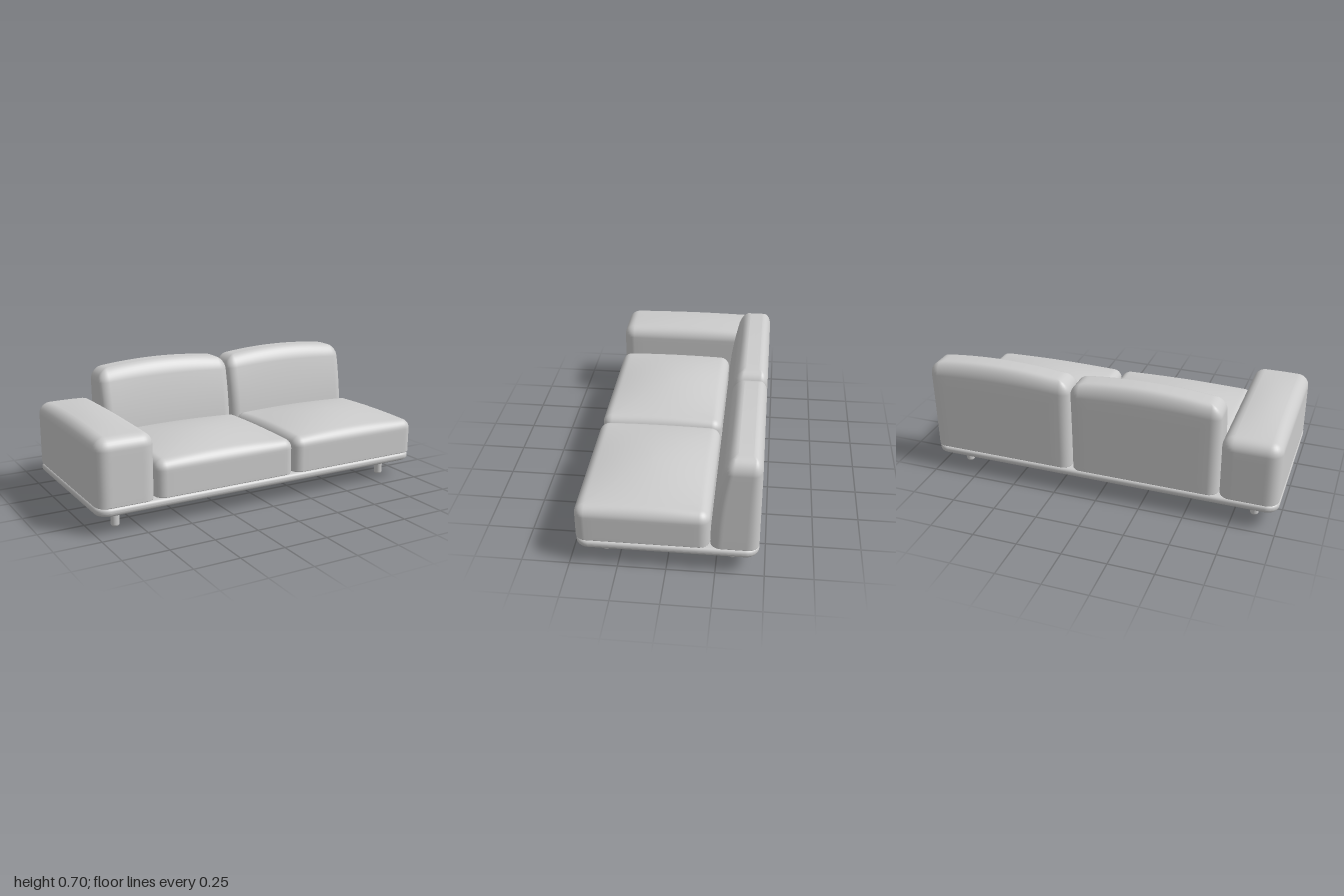
import * as THREE from 'three';

const material = new THREE.MeshStandardMaterial({ color: 0xcccccc });

// Rounded-rectangle outline, counter-clockwise seen from above
function outline(hx, hz, r, edgeSteps = 14, cornerSteps = 6) {
  const pts = [];
  const cx = hx - r, cz = hz - r;
  const corners = [[cx, -cz], [-cx, -cz], [-cx, cz], [cx, cz]];
  corners.forEach(([x, z], q) => {
    for (let i = 0; i <= cornerSteps; i++) {
      const a = (q + i / cornerSteps) * Math.PI / 2;
      pts.push([x + r * Math.cos(a), z - r * Math.sin(a)]);
    }
    // subdivide the straight run to the next corner
    const [x0, z0] = pts[pts.length - 1];
    const [nx, nz] = corners[(q + 1) % 4];
    const a = (q + 1) * Math.PI / 2;
    const x1 = nx + r * Math.cos(a), z1 = nz - r * Math.sin(a);
    for (let i = 1; i < edgeSteps; i++) {
      const t = i / edgeSteps;
      pts.push([x0 + (x1 - x0) * t, z0 + (z1 - z0) * t]);
    }
  });
  return pts;
}

// Soft block: stacked outlines with rounded bottom and top edges.
// shape(x, y, z, u, v, t) may bend each point; u, v run -1..1 and t 0..1 upward.
function softBlock(name, { x, y, z, r, top, bottom, shape }) {
  const hx = (x[1] - x[0]) / 2, hz = (z[1] - z[0]) / 2;
  const mx = (x[0] + x[1]) / 2, mz = (z[0] + z[1]) / 2;
  const levels = []; // inset, height, scale
  for (const s of [0.001, 0.5, 0.97]) levels.push([bottom, y[0], s]);
  for (let i = 0; i <= 4; i++) {
    const a = i / 4 * Math.PI / 2;
    levels.push([bottom * (1 - Math.sin(a)), y[0] + bottom * (1 - Math.cos(a)), 1]);
  }
  const wall0 = y[0] + bottom, wall1 = y[1] - top;
  for (let i = 1; i < 8; i++) levels.push([0, wall0 + (wall1 - wall0) * i / 8, 1]);
  for (let i = 0; i <= 8; i++) {
    const a = i / 8 * Math.PI / 2;
    levels.push([top * (1 - Math.cos(a)), wall1 + top * Math.sin(a), 1]);
  }
  for (const s of [0.96, 0.88, 0.76, 0.62, 0.48, 0.34, 0.2, 0.08, 0.001]) levels.push([top, y[1], s]);

  const pos = [], index = [];
  let n = 0;
  levels.forEach(([inset, py, s]) => {
    const ring = outline(hx - inset, hz - inset, Math.max(r - inset, 0.012));
    n = ring.length;
    for (const [px, pz] of ring) {
      const p = [px * s, py, pz * s];
      const t = (py - y[0]) / (y[1] - y[0]);
      const q = shape ? shape(...p, p[0] / hx, p[2] / hz, t) : p;
      pos.push(q[0] + mx, q[1], q[2] + mz);
    }
  });
  for (let k = 0; k < levels.length - 1; k++) {
    for (let i = 0; i < n; i++) {
      const j = (i + 1) % n;
      const a = k * n + i, b = k * n + j, c = b + n, d = a + n;
      index.push(a, b, c, a, c, d);
    }
  }
  const geo = new THREE.BufferGeometry();
  geo.setAttribute('position', new THREE.Float32BufferAttribute(pos, 3));
  geo.setIndex(index);
  geo.computeVertexNormals();
  const mesh = new THREE.Mesh(geo, material);
  mesh.name = name;
  return mesh;
}

// Pillow-like crown on the top of a block
const crown = (h) => (x, y, z, u, v, t) => [x, y + h * (1 - u * u) * (1 - v * v) * t ** 4, z];

export function createModel() {
  const sofa = new THREE.Group();
  sofa.name = 'sofa';

  // Base platform
  sofa.add(softBlock('base', {
    x: [-1, 1], y: [0.105, 0.15], z: [-0.468, 0.468], r: 0.07, top: 0.018, bottom: 0.02,
  }));

  // Single armrest on the right-hand side
  sofa.add(softBlock('armrest', {
    x: [-0.998, -0.677], y: [0.15, 0.503], z: [-0.467, 0.467], r: 0.065, top: 0.06, bottom: 0.005,
    shape: crown(0.022),
  }));

  // Seat and back cushions, two of each
  const back = (x, y, z, u, v, t) => {
    const lean = 1 - 0.31 * t * t; // the front face slopes back, the rear stays upright
    return [x, y + 0.03 * (1 - u * u) * t ** 4, -0.124 + (z + 0.124) * lean];
  };
  [[-0.674, 0.158], [0.164, 0.996]].forEach((x, i) => {
    const side = i ? 'left' : 'right';
    sofa.add(softBlock(side + 'SeatCushion', {
      x, y: [0.152, 0.347], z: [-0.219, 0.467], r: 0.055, top: 0.05, bottom: 0.005,
      shape: crown(0.051),
    }));
    sofa.add(softBlock(side + 'BackCushion', {
      x, y: [0.152, 0.675], z: [-0.468, -0.22], r: 0.055, top: 0.07, bottom: 0.005,
      shape: back,
    }));
  });

  // Four round legs with softened feet
  const profile = [[0, 0], [0.012, 0], [0.018, 0.002], [0.022, 0.007], [0.023, 0.013], [0.023, 0.11]]
    .map(([a, b]) => new THREE.Vector2(a, b));
  const legGeo = new THREE.LatheGeometry(profile, 24);
  for (const sx of [-1, 1]) {
    for (const sz of [-1, 1]) {
      const leg = new THREE.Mesh(legGeo, material);
      leg.name = (sz > 0 ? 'front' : 'rear') + (sx > 0 ? 'Left' : 'Right') + 'Leg';
      leg.position.set(0.86 * sx, 0, 0.33 * sz);
      sofa.add(leg);
    }
  }
  return sofa;
}
